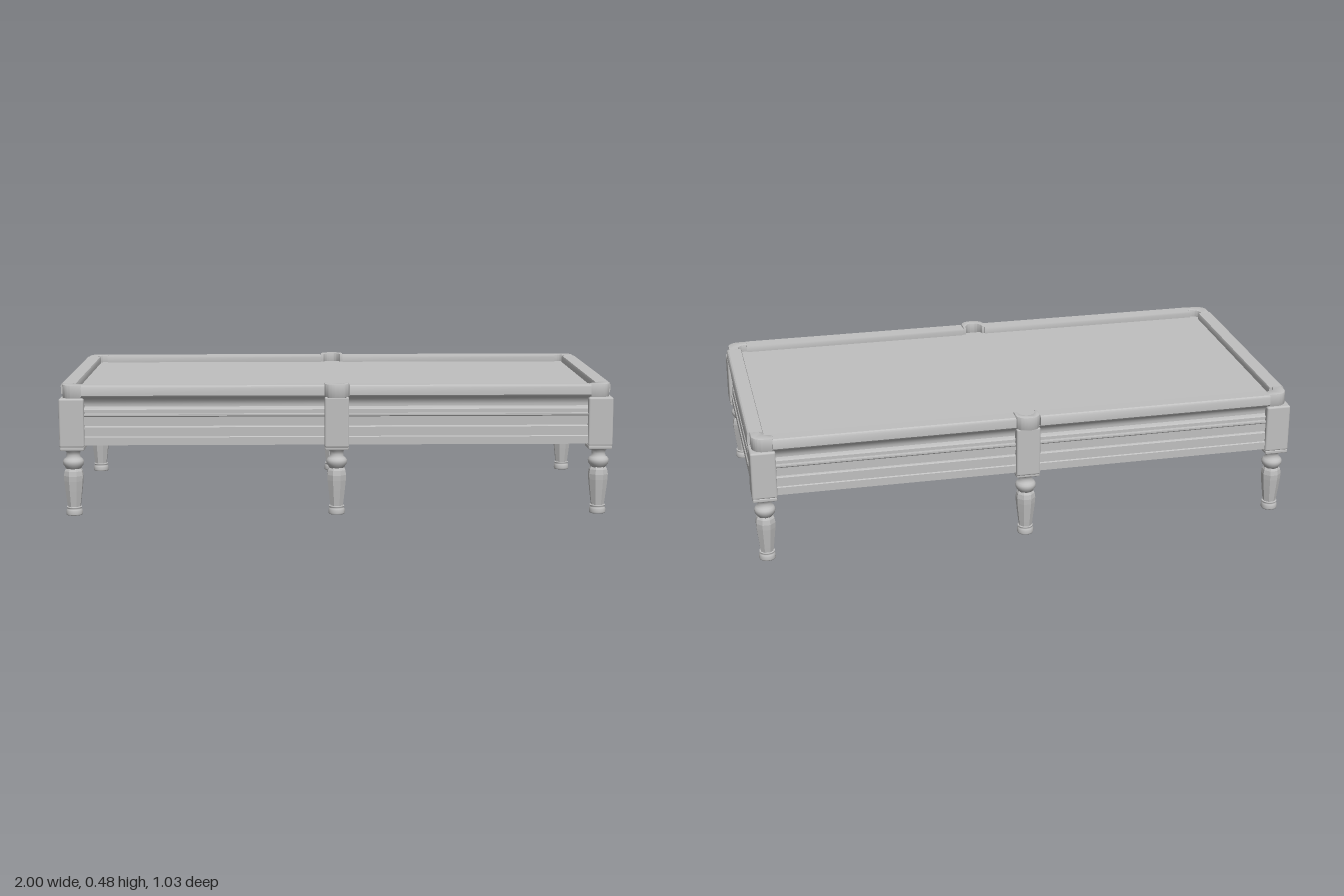
import * as THREE from 'three';
import { toCreasedNormals } from 'three/addons/utils/BufferGeometryUtils.js';
import { RoundedBoxGeometry } from 'three/addons/geometries/RoundedBoxGeometry.js';

const grey = new THREE.MeshStandardMaterial({ color: 0xbfbfbf });
grey.name = 'plain grey';

function add(parent, name, geometry, x = 0, y = 0, z = 0, turn = 0) {
  const mesh = new THREE.Mesh(geometry, grey);
  mesh.name = name;
  mesh.position.set(x, y, z);
  mesh.rotation.y = turn;
  parent.add(mesh);
  return mesh;
}

// Moulding: section is [outward, height], swept along a centred length
function moulding(section, length) {
  const shape = new THREE.Shape(section.map(([u, v]) => new THREE.Vector2(u, v)));
  const g = new THREE.ExtrudeGeometry(shape, { depth: length, bevelEnabled: false });
  g.translate(0, 0, -length / 2);
  return toCreasedNormals(g, 0.5);
}

// Plan outline [x, z] extruded downwards from y = 0
function slab(shape, depth) {
  const g = new THREE.ExtrudeGeometry(shape, {
    depth: depth - 0.006, bevelEnabled: true, bevelThickness: 0.003,
    bevelSize: 0.003, bevelOffset: -0.003, bevelSegments: 2, curveSegments: 12,
  });
  g.rotateX(Math.PI / 2);
  g.translate(0, -0.003, 0);
  return toCreasedNormals(g, 0.6);
}

function turned(points, sides) {
  return new THREE.LatheGeometry(points.map(([r, y]) => new THREE.Vector2(r, y)), sides);
}

// Sections measured from the outer face of the table
const railSection = [
  [-0.056, 0.445], [-0.048, 0.437], [-0.003, 0.437], [0, 0.441],
  [0, 0.468], [-0.003, 0.474], [-0.008, 0.477], [-0.055, 0.476], [-0.058, 0.468],
];
const apronSection = [
  [-0.08, 0.26], [-0.008, 0.26], [-0.008, 0.288], [-0.012, 0.291],
  [-0.012, 0.324], [-0.015, 0.327], [-0.022, 0.328], [-0.022, 0.333], [-0.014, 0.334],
  [-0.014, 0.362], [-0.011, 0.366], [-0.011, 0.372], [-0.024, 0.373], [-0.024, 0.38],
  [-0.016, 0.381], [-0.016, 0.388], [-0.024, 0.391], [-0.028, 0.398],
  [-0.028, 0.407], [-0.024, 0.418], [-0.016, 0.428], [-0.005, 0.437], [-0.08, 0.437],
];

function createLeg() {
  const leg = new THREE.Group();
  leg.name = 'leg';
  add(leg, 'legFoot', turned([
    [0, 0], [0.029, 0], [0.03, 0.004], [0.03, 0.016], [0.027, 0.021], [0.025, 0.024],
    [0.028, 0.027], [0.028, 0.03], [0, 0.034],
  ], 24));

  // Eight-sided tapering shaft
  const shaft = turned([
    [0.024, 0.028], [0.027, 0.05], [0.032, 0.09], [0.036, 0.125],
    [0.037, 0.145], [0.034, 0.162], [0.027, 0.174],
  ], 8).toNonIndexed();
  shaft.computeVertexNormals();
  add(leg, 'legShaft', shaft, 0, 0, 0, Math.PI / 8);

  add(leg, 'legCollar', turned([
    [0, 0.168], [0.027, 0.17], [0.031, 0.178], [0.036, 0.184], [0.038, 0.193],
    [0.037, 0.2], [0.032, 0.207], [0.026, 0.212], [0.024, 0.222], [0.026, 0.233],
    [0.034, 0.238], [0.034, 0.244],
  ], 24));
  add(leg, 'legPlate', new RoundedBoxGeometry(0.086, 0.014, 0.086, 2, 0.004), 0, 0.247, 0);
  return leg;
}

export function createModel() {
  const table = new THREE.Group();
  table.name = 'billiardTable';

  // Solid body with the playing bed on top
  add(table, 'body', new THREE.BoxGeometry(1.92, 0.165, 0.92), 0, 0.3425, 0);
  add(table, 'playingBed', new THREE.BoxGeometry(1.93, 0.025, 0.93), 0, 0.4375, 0);

  // Aprons and rails; the long rails are split at the side pockets
  const endApron = moulding(apronSection, 0.84);
  const sideApron = moulding(apronSection, 1.84);
  const endRail = moulding(railSection, 0.836);
  const sideRail = moulding(railSection, 0.873);
  for (const s of [1, -1]) {
    const endTurn = s > 0 ? 0 : Math.PI;
    const sideTurn = -s * Math.PI / 2;
    add(table, 'endApron', endApron, s, 0, 0, endTurn);
    add(table, 'endRail', endRail, s, 0, 0, endTurn);
    add(table, 'sideApron', sideApron, 0, 0, s * 0.5, sideTurn);
    for (const t of [1, -1]) add(table, 'sideRail', sideRail, t * 0.4815, 0, s * 0.5, sideTurn);
  }

  // Corner pocket bracket: rounded outside, hollow towards the bed
  const corner = new THREE.Shape();
  corner.moveTo(0.04, -0.035);
  corner.lineTo(0.04, 0);
  corner.absarc(0, 0, 0.04, 0, Math.PI / 2, false);
  corner.lineTo(-0.035, 0.04);
  corner.lineTo(-0.035, 0.004);
  corner.quadraticCurveTo(0.004, 0.004, 0.004, -0.035);
  const cornerCap = slab(corner, 0.05);

  // Side pocket bracket: rounded front with a round mouth
  const side = new THREE.Shape();
  side.moveTo(0.044, -0.052);
  side.lineTo(0.044, -0.012);
  side.quadraticCurveTo(0.036, 0.016, 0, 0.017);
  side.quadraticCurveTo(-0.036, 0.016, -0.044, -0.012);
  side.lineTo(-0.044, -0.052);
  side.lineTo(-0.034, -0.052);
  side.quadraticCurveTo(-0.026, -0.012, 0, -0.012);
  side.quadraticCurveTo(0.026, -0.012, 0.034, -0.052);
  const sideCap = slab(side, 0.05);

  const cornerPost = new RoundedBoxGeometry(0.09, 0.178, 0.09, 3, 0.007);
  const sidePost = new RoundedBoxGeometry(0.088, 0.185, 0.09, 3, 0.007);

  for (const sz of [1, -1]) {
    for (const sx of [-1, 0, 1]) {
      const leg = createLeg();
      leg.position.set(sx * 0.955, 0, sz * 0.457);
      table.add(leg);
      if (sx === 0) {
        add(table, 'sidePost', sidePost, 0, 0.3425, sz * 0.461);
        add(table, 'sidePocket', sideCap, 0, 0.482, sz * 0.5, sz > 0 ? 0 : Math.PI);
      } else {
        add(table, 'cornerPost', cornerPost, sx * 0.955, 0.341, sz * 0.455);
        // Quarter turns carry the bracket round the four corners
        const turn = Math.PI / 4 - Math.atan2(sz, sx);
        add(table, 'cornerPocket', cornerCap, sx * 0.95, 0.478, sz * 0.45, turn);
      }
    }
  }
  return table;
}
